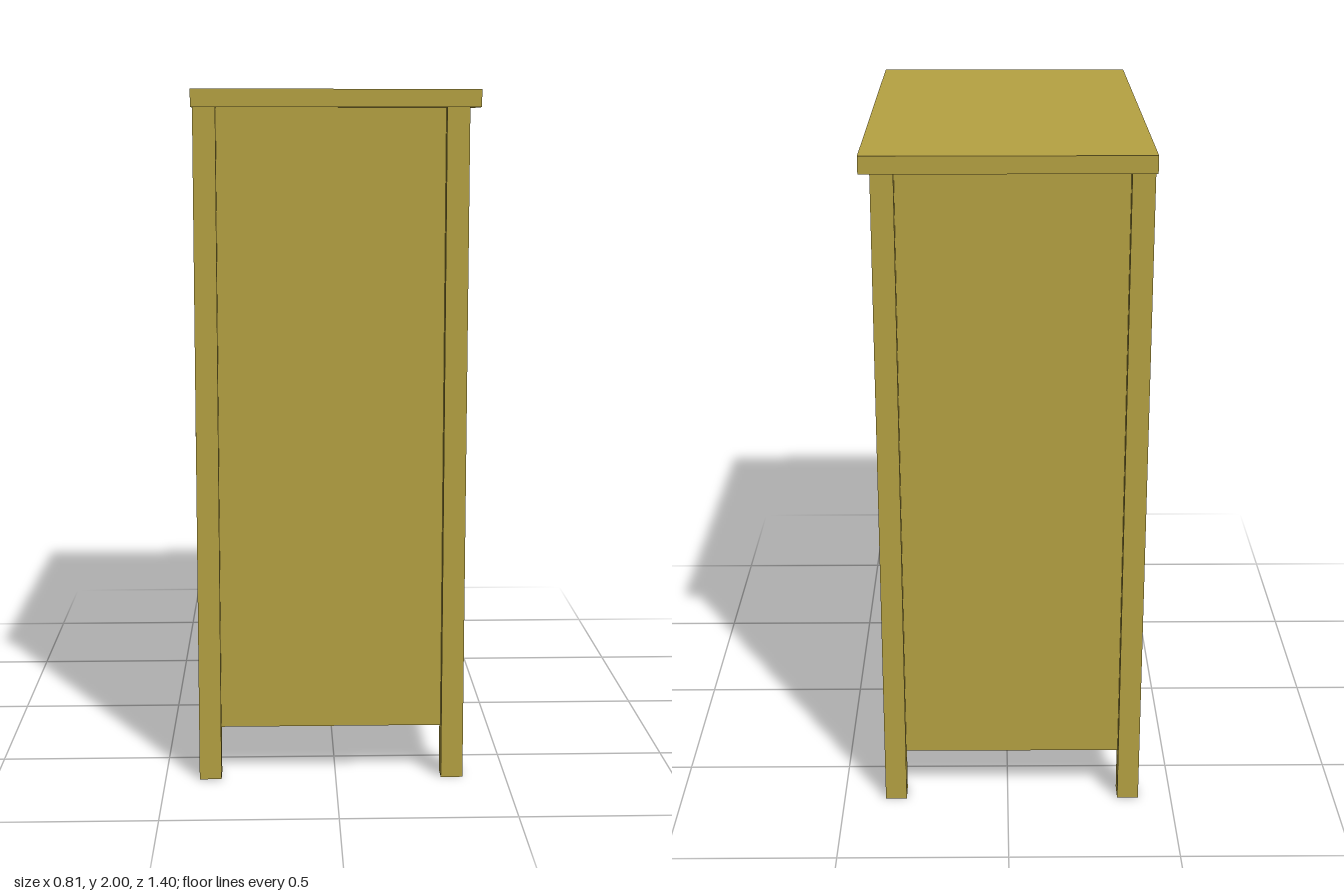
import * as THREE from 'three';

export function createModel() {
  const cabinet = new THREE.Group();
  cabinet.name = 'cabinet';
  const wood = new THREE.MeshStandardMaterial({ color: 0xb5a142, flatShading: true });

  const add = (name, geometry, x, y, z) => {
    const mesh = new THREE.Mesh(geometry, wood);
    mesh.name = name;
    mesh.position.set(x, y, z);
    cabinet.add(mesh);
    return mesh;
  };
  // Box given by its lower and upper corners
  const box = (name, x0, x1, y0, y1, z0, z1) =>
    add(name, new THREE.BoxGeometry(x1 - x0, y1 - y0, z1 - z0), (x0 + x1) / 2, (y0 + y1) / 2, (z0 + z1) / 2);

  // Overhanging top and the body with its recessed panels
  box('top', -0.405, 0.405, 1.95, 2, -0.7, 0.7);
  box('body', -0.345, 0.342, 0.15, 1.95, -0.656, 0.656);

  // Square corner posts that run down into feet
  const post = 0.064;
  for (const x of [-0.4, 0.374 - post])
    for (const z of [-0.686, 0.686 - post])
      box('cornerPost', x, x + post, 0, 1.95, z, z + post);

  // Door frame with four openings, on the -x side
  const rect = (target, x0, x1, y0, y1) => {
    target.moveTo(x0, y0);
    target.lineTo(x1, y0);
    target.lineTo(x1, y1);
    target.lineTo(x0, y1);
    target.closePath();
    return target;
  };
  const frame = rect(new THREE.Shape(), -0.625, 0.625, 0.15, 1.89);
  for (const [z0, z1] of [[-0.58, -0.075], [0.075, 0.58]])
    for (const [y0, y1] of [[0.21, 0.95], [1.085, 1.825]])
      frame.holes.push(rect(new THREE.Path(), z0, z1, y0, y1));
  const doors = add('doorFrame', new THREE.ExtrudeGeometry(frame, { depth: 0.026, bevelEnabled: false }), -0.344, 0, 0);
  doors.rotation.y = -Math.PI / 2;

  // Round knobs on the outer stiles
  const profile = [[0, 0], [0.01, 0], [0.01, 0.012], [0.021, 0.018], [0.021, 0.027], [0.012, 0.035], [0, 0.035]]
    .map(([r, h]) => new THREE.Vector2(r, h));
  for (const z of [-0.595, 0.595])
    add('knob', new THREE.LatheGeometry(profile, 10), -0.37, 1.02, z).rotation.z = Math.PI / 2;

  return cabinet;
}
